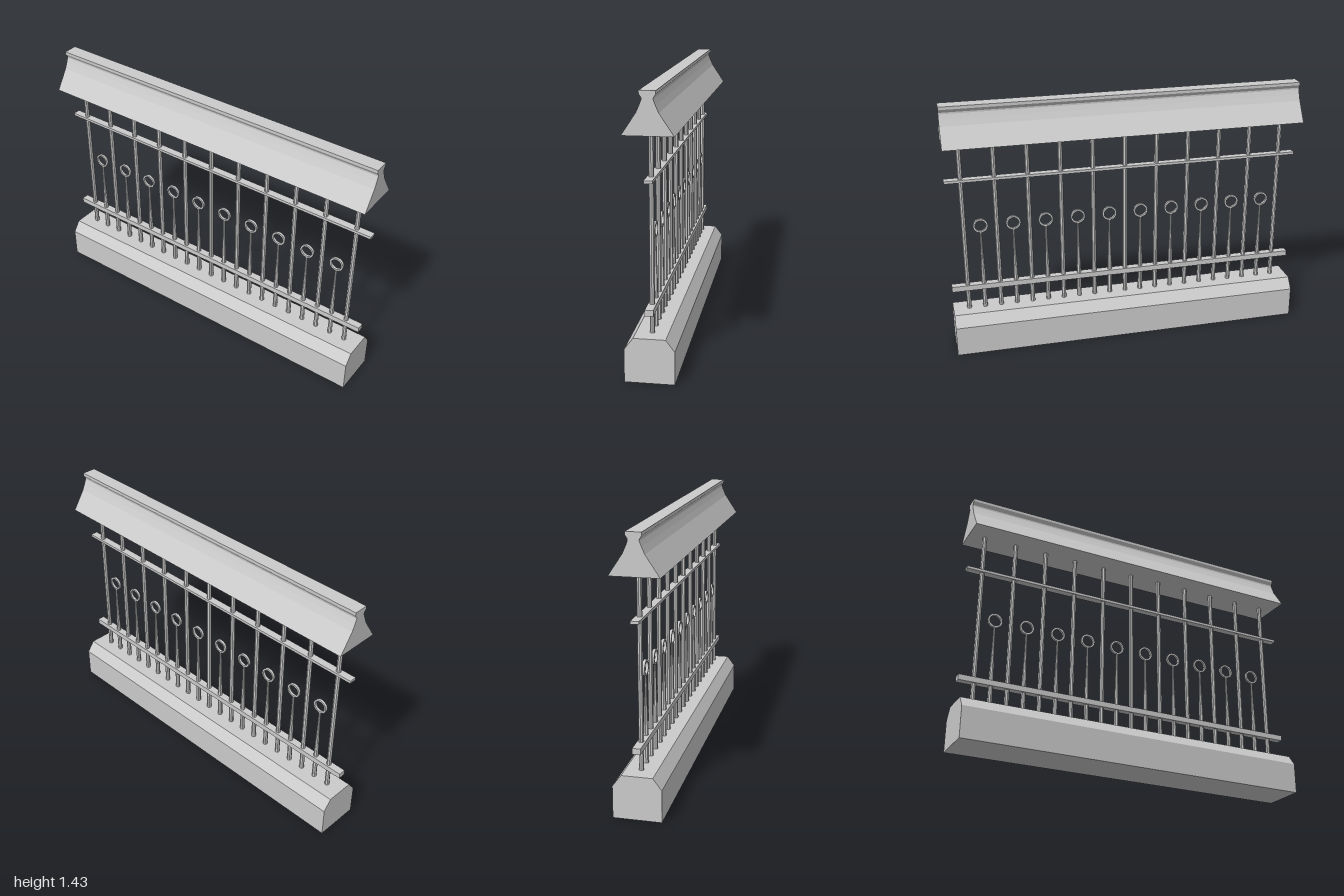
import * as THREE from 'three';

const LENGTH = 2;
const SPACING = 0.182;

export function createModel() {
  const group = new THREE.Group();
  const material = new THREE.MeshStandardMaterial({ color: 0xcccccc, flatShading: true });

  const add = (name, geometry, y = 0, z = 0) => {
    const mesh = new THREE.Mesh(geometry, material);
    mesh.name = name;
    mesh.position.set(0, y, z);
    group.add(mesh);
  };

  // Half profile [x, y], mirrored and swept along the whole fence
  const sweep = (half) => {
    const points = [...half, ...half.map(([x, y]) => [-x, y]).reverse()];
    const shape = new THREE.Shape(points.map(([x, y]) => new THREE.Vector2(x, y)));
    return new THREE.ExtrudeGeometry(shape, { depth: LENGTH, bevelEnabled: false })
      .translate(0, 0, -LENGTH / 2);
  };

  // Chamfered plinth and flared top cap
  add('base', sweep([[0.125, 0], [0.125, 0.17], [0.08, 0.23]]));
  add('topCap', sweep([
    [0.125, 1.22], [0.053, 1.328], [0.038, 1.362], [0.028, 1.388],
    [0.028, 1.396], [0.04, 1.414], [0.04, 1.43],
  ]));

  // Horizontal rails
  add('lowerRail', new THREE.BoxGeometry(0.042, 0.031, LENGTH), 0.3625);
  add('upperRail', new THREE.BoxGeometry(0.042, 0.015, LENGTH), 1.0045);

  // Full-height bars
  const bar = new THREE.CylinderGeometry(0.013, 0.013, 1.0, 8, 1, true);
  for (let i = 0; i < 11; i++) add('tallBar', bar, 0.725, (i - 5) * SPACING);

  // Short tapered bars, each carrying a ring
  const spike = new THREE.LatheGeometry(
    [[0.013, 0.225], [0.013, 0.375], [0.0125, 0.42], [0.0075, 0.58], [0.006, 0.694]]
      .map(([r, y]) => new THREE.Vector2(r, y)), 8);
  const ringShape = new THREE.Shape().absarc(0, 0, 0.041, 0, Math.PI * 2);
  ringShape.holes.push(new THREE.Path().absarc(0, 0, 0.031, 0, Math.PI * 2, true));
  const ring = new THREE.ExtrudeGeometry(ringShape, { depth: 0.014, bevelEnabled: false, curveSegments: 12 })
    .translate(0, 0, -0.007)
    .rotateY(Math.PI / 2);
  for (let i = 0; i < 10; i++) {
    const z = (i - 4.5) * SPACING;
    add('shortBar', spike, 0, z);
    add('ring', ring, 0.73, z);
  }
  return group;
}
